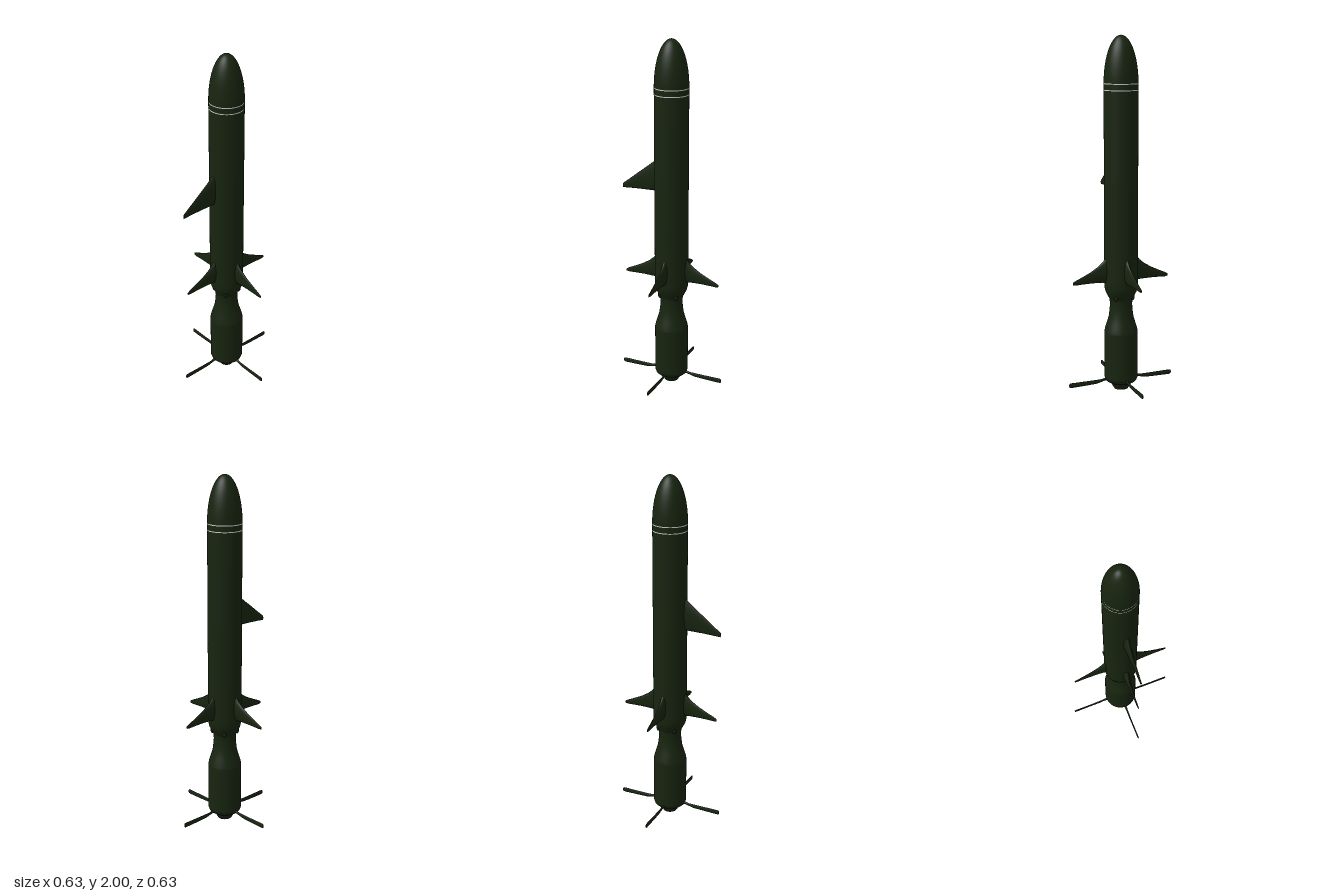
import * as THREE from 'three';

const green = new THREE.MeshStandardMaterial({ color: 0x17240f });
const greenOpen = new THREE.MeshStandardMaterial({ color: 0x17240f, side: THREE.DoubleSide });
const pale = new THREE.MeshStandardMaterial({ color: 0xcccccc });

function add(parent, name, geometry, material = green) {
  const mesh = new THREE.Mesh(geometry, material);
  mesh.name = name;
  parent.add(mesh);
  return mesh;
}

// Turned part from [radius, y] pairs, listed from bottom to top
const lathe = (points, segments = 64) =>
  new THREE.LatheGeometry(points.map(([r, y]) => new THREE.Vector2(r, y)), segments);

// Fin lofted along +x through elliptical sections [span, bottom, top, half thickness]
function finGeometry(sections, sides = 20) {
  const positions = [], index = [];
  for (const [x, low, high, thick] of sections) {
    for (let i = 0; i < sides; i++) {
      const a = (i / sides) * Math.PI * 2;
      positions.push(x, (low + high) / 2 + Math.cos(a) * (high - low) / 2, Math.sin(a) * thick);
    }
  }
  for (let s = 0; s < sections.length - 1; s++) {
    for (let i = 0; i < sides; i++) {
      const a = s * sides + i, b = s * sides + (i + 1) % sides;
      index.push(a, a + sides, b, b, a + sides, b + sides);
    }
  }
  // Tip cap with its own vertices, so the edge stays sharp
  const tip = positions.length / 3;
  positions.push(...positions.slice(-sides * 3));
  for (let i = 1; i < sides - 1; i++) index.push(tip, tip + i + 1, tip + i);
  const geometry = new THREE.BufferGeometry();
  geometry.setAttribute('position', new THREE.Float32BufferAttribute(positions, 3));
  // Wind the faces so that they look outward
  for (let i = 0; i < index.length; i += 3) {
    const [a, b, c] = [0, 1, 2].map(k => new THREE.Vector3().fromArray(positions, index[i + k] * 3));
    const normal = b.clone().sub(a).cross(c.clone().sub(a));
    const s = Math.min(sections.length - 1, Math.floor(index[i] / sides));
    const middle = new THREE.Vector3(a.x, (sections[s][1] + sections[s][2]) / 2, 0);
    const outward = index[i] >= tip ? new THREE.Vector3(1, 0, 0)
      : a.clone().add(b).add(c).divideScalar(3).sub(middle).setX(0);
    if (normal.dot(outward) < 0) [index[i + 1], index[i + 2]] = [index[i + 2], index[i + 1]];
  }
  geometry.setIndex(index);
  geometry.computeVertexNormals();
  return geometry;
}

export function createModel() {
  const model = new THREE.Group();
  const R = 0.095;

  // Main tube with rounded nose
  const body = [[0.065, 0.53], [0.075, 0.55], [0.088, 0.575], [0.094, 0.6], [R, 0.63], [R, 1.2], [R, 1.72]];
  for (let i = 1; i <= 24; i++) {
    const a = (i / 24) * Math.PI / 2;
    body.push([R * Math.cos(a), 1.74 + 0.26 * Math.sin(a)]);
  }
  body[body.length - 1][0] = 0;
  add(model, 'body', lathe(body));

  // Narrow waist between tube and booster
  add(model, 'waist', lathe([[R, 0.34], [0.091, 0.36], [0.08, 0.395], [0.07, 0.43],
    [0.065, 0.47], [0.063, 0.5], [0.065, 0.53]]));

  // Booster casing, chamfered at the base
  add(model, 'booster', lathe([[R, 0.07], [R, 0.2], [R, 0.34]]));
  add(model, 'boosterBase', lathe([[0, 0.045], [0.08, 0.045], [0.089, 0.053], [R, 0.07]]));

  // Open exhaust nozzle
  add(model, 'nozzle', lathe([[0, 0.03], [0.026, 0.022], [0.032, 0.0], [0.04, 0.0], [0.062, 0.038], [0.062, 0.05]]), greenOpen);

  // Thin pale bands below the nose
  for (const y of [1.705, 1.74]) {
    const band = add(model, 'noseBand', new THREE.CylinderGeometry(R + 0.0008, R + 0.0008, 0.005, 64, 1, true), pale);
    band.position.y = y;
  }

  // Single swept fin on the front
  const frontFin = add(model, 'upperFin', finGeometry([
    [0.08, 1.15, 1.34, 0.021], [0.1, 1.15, 1.325, 0.017], [0.15, 1.149, 1.285, 0.012],
    [0.2, 1.148, 1.247, 0.008], [0.25, 1.146, 1.208, 0.006], [0.302, 1.143, 1.168, 0.004],
  ]));
  frontFin.rotation.y = -Math.PI / 2;

  const wing = finGeometry([
    [0.08, 0.63, 0.79, 0.022], [0.097, 0.631, 0.768, 0.017], [0.115, 0.634, 0.748, 0.014],
    [0.14, 0.635, 0.727, 0.011], [0.18, 0.636, 0.702, 0.008], [0.23, 0.635, 0.678, 0.005],
    [0.27, 0.633, 0.66, 0.004], [0.288, 0.636, 0.65, 0.003],
  ]);
  const blade = finGeometry([
    [0.07, 0.054, 0.072, 0.008], [0.1, 0.055, 0.071, 0.007], [0.12, 0.05, 0.066, 0.005],
    [0.15, 0.043, 0.066, 0.005], [0.2, 0.041, 0.066, 0.004], [0.3, 0.039, 0.067, 0.004],
    [0.311, 0.04, 0.066, 0.004], [0.315, 0.043, 0.063, 0.003],
  ]);
  const port = new THREE.SphereGeometry(1, 16, 10);

  // Four wings, tail blades and exhaust ports around the axis
  for (let i = 0; i < 4; i++) {
    const angle = i * Math.PI / 2;
    add(model, 'wing', wing).rotation.y = angle;
    add(model, 'tailBlade', blade).rotation.y = angle;
    const exhaust = add(model, 'exhaustPort', port);
    exhaust.scale.set(0.012, 0.022, 0.012);
    exhaust.position.set(0.07 * Math.cos(angle + Math.PI / 4), 0.55, 0.07 * Math.sin(angle + Math.PI / 4));
  }
  return model;
}
